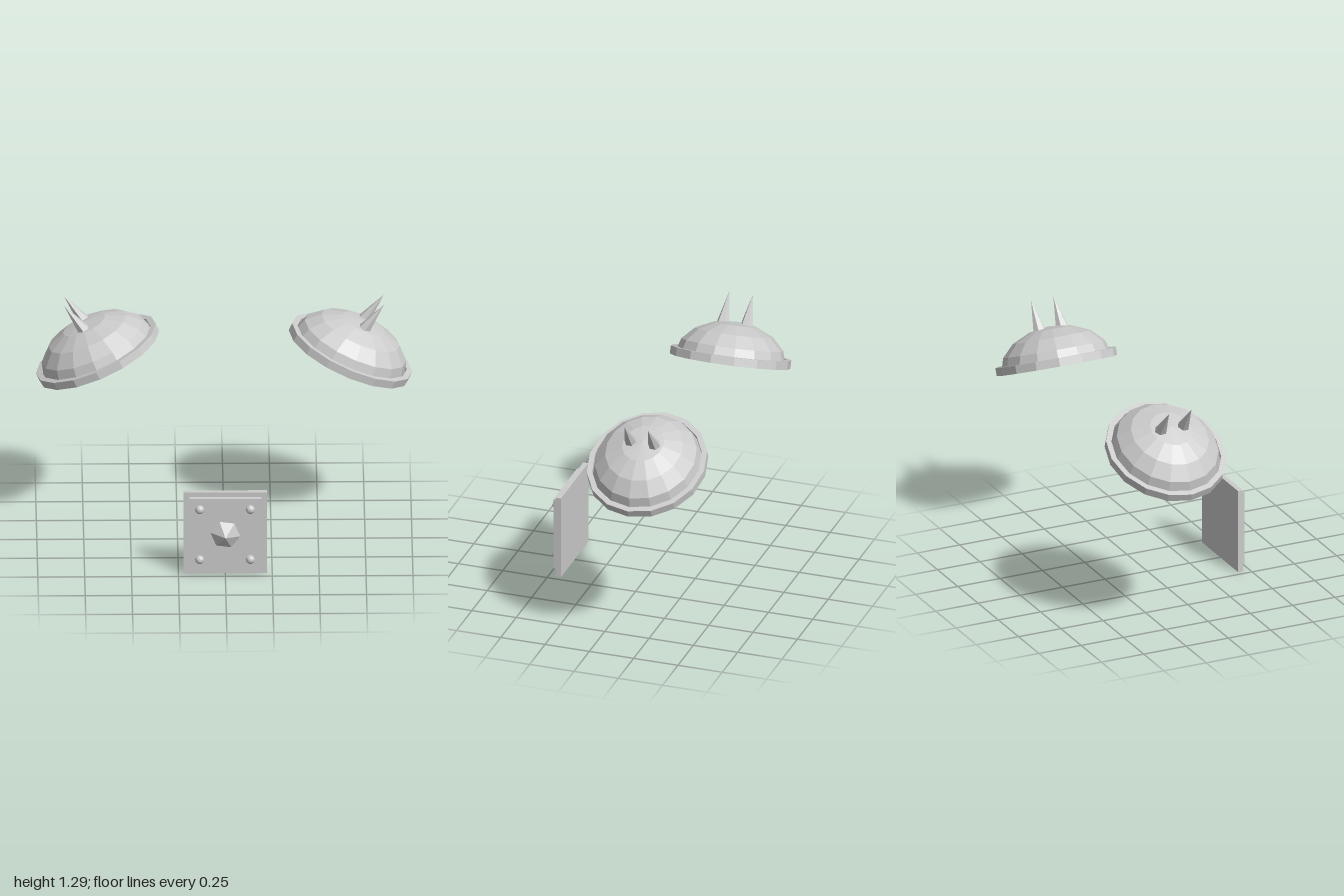
import * as THREE from 'three';

const material = new THREE.MeshStandardMaterial({ color: 0xcccccc, flatShading: true });
const SIDES = 16;

function add(parent, name, geometry, x = 0, y = 0, z = 0) {
  const mesh = new THREE.Mesh(geometry, material);
  mesh.name = name;
  mesh.position.set(x, y, z);
  parent.add(mesh);
  return mesh;
}

function lathe(points) {
  return new THREE.LatheGeometry(points.map(([r, y]) => new THREE.Vector2(r, y)), SIDES);
}

// Domed shoulder plate with a raised rim, tilted outwards
function shoulderPlate(side) {
  const plate = new THREE.Group();
  plate.name = side > 0 ? 'leftShoulderPlate' : 'rightShoulderPlate';

  const shell = new THREE.Group();
  shell.name = 'shell';
  shell.position.set(side * 0.665, 0.975, -0.215);
  shell.rotation.z = -side * THREE.MathUtils.degToRad(24);
  shell.scale.x = 1.087;
  plate.add(shell);

  // Dome closed underneath, in four rows
  const domeProfile = [[0, 0.012]];
  for (let i = 0; i <= 4; i++) {
    const a = (i / 4) * Math.PI / 2;
    domeProfile.push([i === 4 ? 0 : 0.295 * Math.cos(a), 0.012 + 0.202 * Math.sin(a)]);
  }
  add(shell, 'dome', lathe(domeProfile));
  add(shell, 'rim', lathe([[0.322, 0], [0.322, 0.045], [0.293, 0.045], [0.293, 0], [0.322, 0]]));

  // Pair of spikes leaning outwards
  for (const z of [-0.147, -0.279]) {
    const spike = add(plate, 'spike', new THREE.ConeGeometry(0.036, 0.18, 6), side * 0.799, 1.222, z);
    spike.rotation.z = -side * 0.64;
  }
  return plate;
}

// Square plate with a stepped face, a central point and corner studs
function frontPlate() {
  const plate = new THREE.Group();
  plate.name = 'frontPlate';
  add(plate, 'backing', new THREE.BoxGeometry(0.444, 0.47, 0.028), 0, 0.235, 0.445);
  add(plate, 'facing', new THREE.BoxGeometry(0.384, 0.412, 0.026), 0, 0.237, 0.471);

  const point = new THREE.ConeGeometry(0.08, 0.052, 6).rotateX(Math.PI / 2).rotateZ(0.39);
  add(plate, 'centrePoint', point, 0, 0.236, 0.51);

  for (const x of [-0.137, 0.133]) {
    for (const y of [0.091, 0.382]) {
      add(plate, 'cornerStud', new THREE.IcosahedronGeometry(0.025, 1), x, y, 0.484);
    }
  }
  return plate;
}

export function createModel() {
  const model = new THREE.Group();
  model.name = 'armourSet';
  model.add(shoulderPlate(1), shoulderPlate(-1), frontPlate());
  return model;
}
